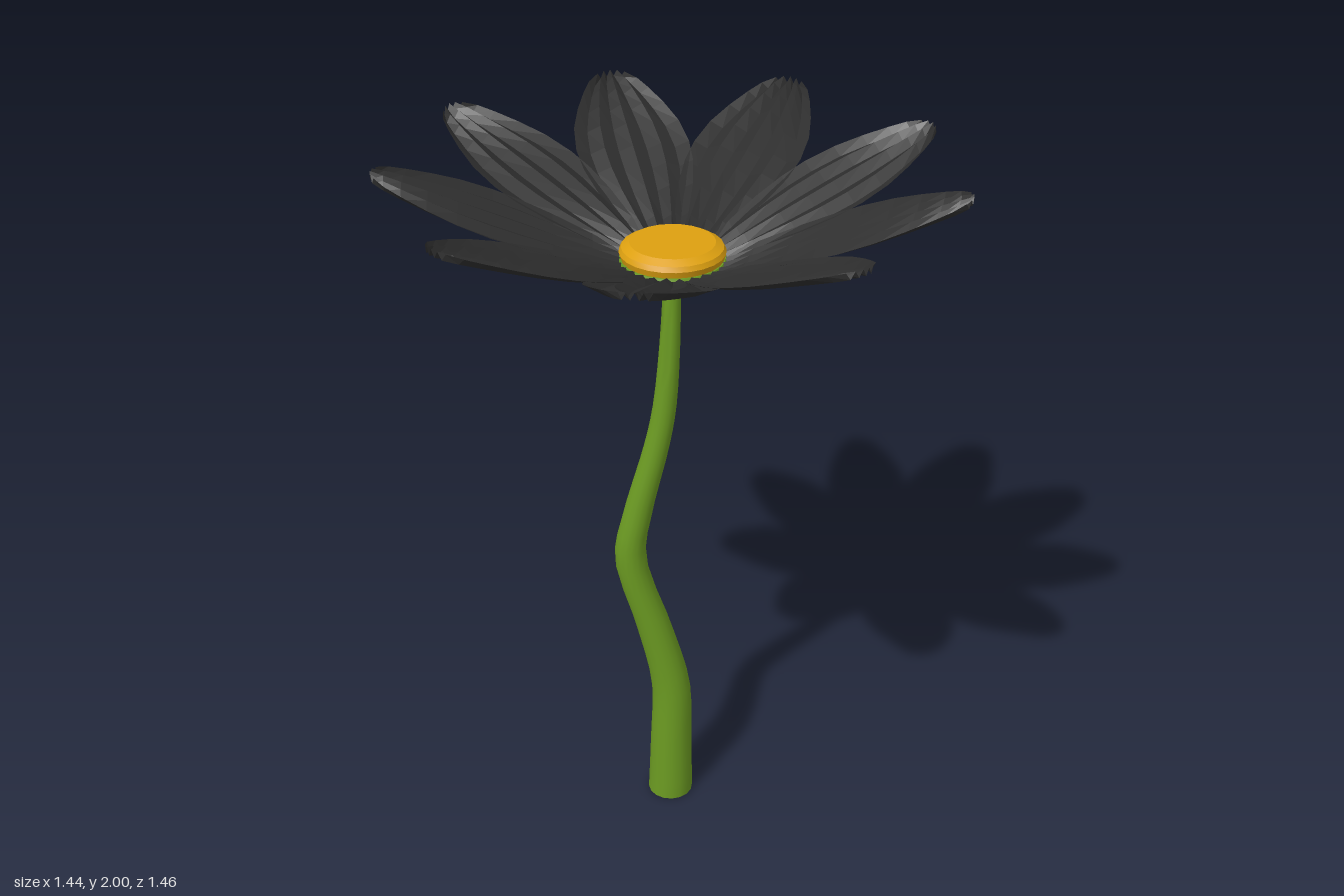
import * as THREE from 'three';
import { toCreasedNormals } from 'three/addons/utils/BufferGeometryUtils.js';

const CENTRE_X = 0.013;
const PETALS = 9;
const green = new THREE.MeshStandardMaterial({ color: 0x6b9a22 });
const yellow = new THREE.MeshStandardMaterial({ color: 0xdda010 });
const dark = new THREE.MeshStandardMaterial({ color: 0x2e2e2e, flatShading: true, side: THREE.DoubleSide });

function mesh(name, geometry, material) {
  const m = new THREE.Mesh(geometry, material);
  m.name = name;
  return m;
}

// Tapered stem: a cylinder whose rings are moved onto a gentle S curve
function stemGeometry() {
  const path = new THREE.CatmullRomCurve3(
    [[0.011, 0], [0.013, 0.2], [0.011, 0.4], [-0.035, 0.6], [-0.103, 0.85], [-0.08, 1.0],
      [-0.03, 1.2], [-0.008, 1.32], [0.006, 1.5], [CENTRE_X, 1.72]]
      .map(([x, y]) => new THREE.Vector3(x, y, 0)));
  const geo = new THREE.CylinderGeometry(0.022, 0.066, 1, 16, 28);
  const pos = geo.attributes.position;
  for (let i = 0; i < pos.count; i++) {
    const p = path.getPoint(THREE.MathUtils.clamp(pos.getY(i) + 0.5, 0, 1));
    // keep the taper linear in height
    const was = THREE.MathUtils.lerp(0.066, 0.022, pos.getY(i) + 0.5);
    const k = THREE.MathUtils.lerp(0.066, 0.022, p.y / 1.72) / was;
    pos.setXYZ(i, p.x + pos.getX(i) * k, p.y, pos.getZ(i) * k);
  }
  return toCreasedNormals(geo, 0.8);
}

// Pleated petal pointing along +x: rows of [distance from centre, half width]
function petalGeometry() {
  const rows = [[0.06, 0.035], [0.13, 0.062], [0.2, 0.092], [0.3, 0.13], [0.38, 0.15], [0.45, 0.156],
    [0.53, 0.146], [0.6, 0.121], [0.66, 0.092], [0.7, 0.068], [0.727, 0.038]];
  const across = 8;
  const geo = new THREE.PlaneGeometry(1, 1, across, rows.length - 1);
  const pos = geo.attributes.position;
  for (let i = 0; i < pos.count; i++) {
    const col = i % (across + 1);
    const row = Math.floor(i / (across + 1));
    const [r, half] = rows[row];
    const u = (col / across) * 2 - 1;
    const tip = row / (rows.length - 1);
    const pleat = (col % 2 ? -1 : 1) * (0.006 + 0.003 * tip);
    const x = r + 0.012 * tip ** 4 * (1 - u * u);
    pos.setXYZ(i, x, 1.752 + 0.4 * (x - 0.13) + pleat, u * half);
  }
  geo.computeVertexNormals();
  return geo;
}

function lathe(points) {
  return toCreasedNormals(new THREE.LatheGeometry(points.map(([x, y]) => new THREE.Vector2(x, y)), 24), 0.5);
}

export function createModel() {
  const flower = new THREE.Group();
  flower.name = 'flower';
  flower.add(mesh('stem', stemGeometry(), green));

  const head = new THREE.Group();
  head.name = 'flowerHead';
  head.position.x = CENTRE_X;
  flower.add(head);

  // Green cup below the petals
  head.add(mesh('calyx', lathe([[0, 1.7], [0.024, 1.7], [0.138, 1.752], [0.136, 1.758], [0, 1.758]]), green));

  // Bevelled yellow disc in the middle
  head.add(mesh('centreDisc', lathe([[0, 1.752], [0.13, 1.752], [0.137, 1.775], [0.131, 1.788], [0.11, 1.8], [0, 1.8]]), yellow));

  // Ring of petals
  const petal = petalGeometry();
  for (let i = 0; i < PETALS; i++) {
    const p = mesh('petal' + (i + 1), petal, dark);
    p.rotation.y = Math.PI + (i / PETALS) * Math.PI * 2;
    head.add(p);
  }
  return flower;
}
